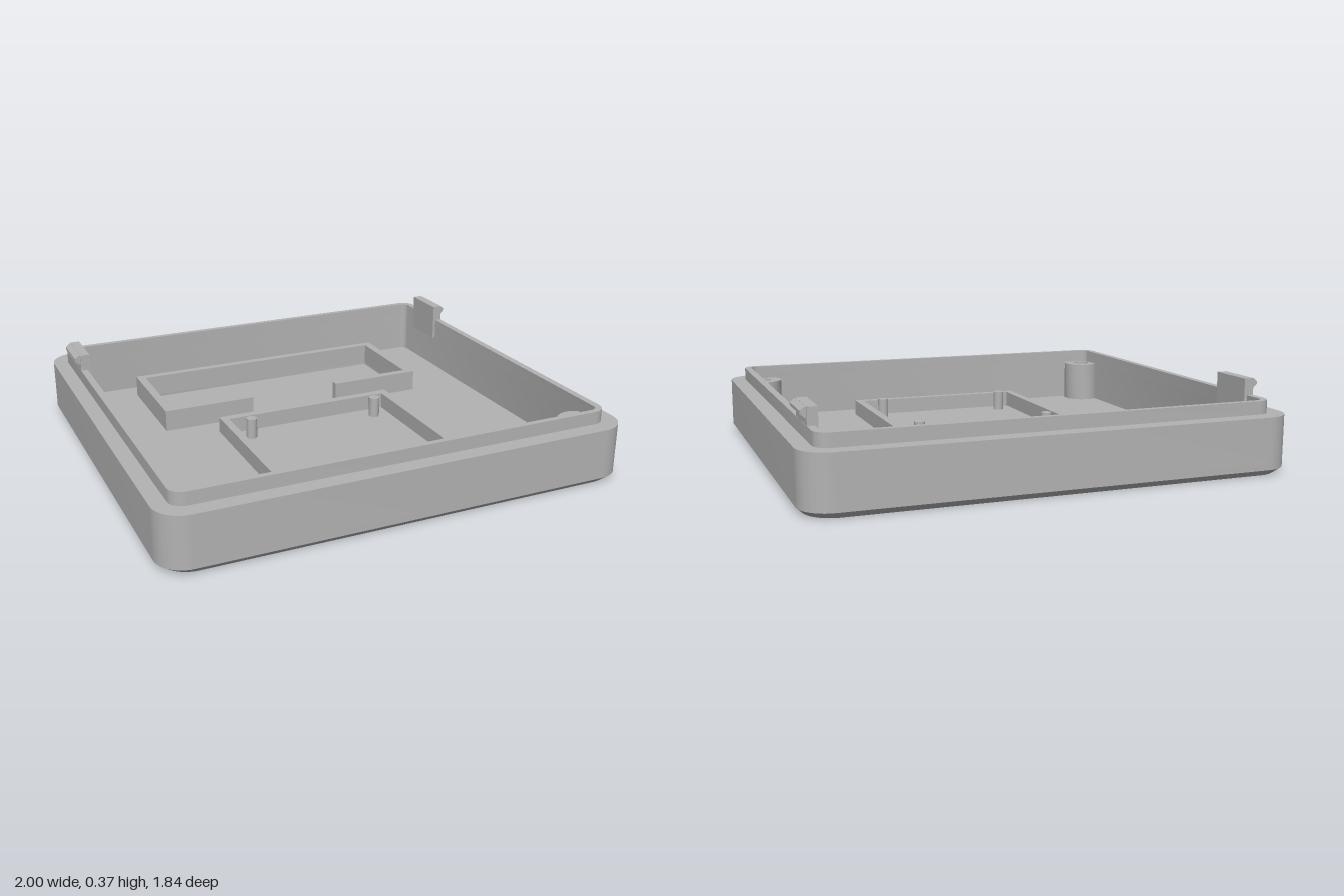
import * as THREE from 'three';
import { toCreasedNormals } from 'three/addons/utils/BufferGeometryUtils.js';

// Rounded rectangle in plan, from x0..x1 and z0..z1
function plan(x0, x1, z0, z1, r, Type = THREE.Shape) {
  const s = new Type();
  if (r === 0) {
    s.moveTo(x0, z0); s.lineTo(x1, z0); s.lineTo(x1, z1); s.lineTo(x0, z1); s.closePath();
    return s;
  }
  s.absarc(x1 - r, z0 + r, r, -Math.PI / 2, 0);
  s.absarc(x1 - r, z1 - r, r, 0, Math.PI / 2);
  s.absarc(x0 + r, z1 - r, r, Math.PI / 2, Math.PI);
  s.absarc(x0 + r, z0 + r, r, Math.PI, Math.PI * 1.5);
  s.closePath();
  return s;
}

const disc = (x, z, r, Type = THREE.Path) => new Type().absarc(x, z, r, 0, Math.PI * 2);

// Flat plan shape raised from y0 to y1
function raise(shape, holes, y0, y1) {
  shape.holes.push(...holes);
  const g = new THREE.ExtrudeGeometry(shape, { depth: y1 - y0, bevelEnabled: false, curveSegments: 10 });
  return g.rotateX(Math.PI / 2).translate(0, y1, 0);
}

export function createModel() {
  const group = new THREE.Group();
  const grey = new THREE.MeshStandardMaterial({ color: 0xb3b3b3 });
  grey.name = 'light grey plastic';
  const add = (name, geometry) => {
    const mesh = new THREE.Mesh(toCreasedNormals(geometry, 0.5), grey);
    mesh.name = name;
    group.add(mesh);
  };

  const FLOOR = 0.05, MID = 0.025, RIM = 0.24, LIP = 0.295;
  const bossX = 0.855, bossZ = 0.77;
  const P = THREE.Path;
  const outer = () => plan(-1, 1, -0.92, 0.92, 0.12);
  const inner = () => plan(-0.905, 0.905, -0.825, 0.825, 0.035, P);
  const screwHoles = () => [-1, 1].map(s => disc(s * bossX, bossZ, 0.06));
  const pocket = (Type = P) => plan(-0.34, 0.34, 0.09, 0.52, 0, Type);
  const windowOuter = (Type = P) => plan(-0.63, 0.63, -0.72, -0.235, 0.03, Type);
  const windowInner = (Type = P) => plan(-0.593, 0.593, -0.685, -0.27, 0.012, Type);

  // Bottom slab, its lower outer edge drawn in to form the chamfer
  const base = raise(outer(), [...screwHoles(), pocket(), windowOuter()], 0, MID);
  const pos = base.attributes.position;
  for (let i = 0; i < pos.count; i++) {
    const x = pos.getX(i), z = pos.getZ(i);
    if (pos.getY(i) < 0.001 && (Math.abs(x) > 0.94 || Math.abs(z) > 0.84)) {
      pos.setX(i, x * 0.975);
      pos.setZ(i, z * 0.973);
    }
  }
  add('chamferedBase', base);
  add('floor', raise(outer(), [...screwHoles(), pocket(), windowInner()], MID, FLOOR));
  add('pocketCover', raise(pocket(THREE.Shape), [], FLOOR - 0.004, FLOOR));
  add('windowPanelLower', raise(windowOuter(THREE.Shape), [], 0.005, MID));
  add('windowPanelUpper', raise(windowInner(THREE.Shape), [], MID, 0.04));

  // Side wall and the thinner lip standing on it
  add('sideWall', raise(outer(), [inner()], FLOOR, RIM));
  add('lip', raise(plan(-0.935, 0.935, -0.85, 0.85, 0.06), [inner()], RIM, LIP));

  // Window frame, open in the middle of its front side
  const frame = new THREE.Shape([
    [-0.21, -0.235], [-0.63, -0.235], [-0.63, -0.72], [0.63, -0.72], [0.63, -0.235], [0.21, -0.235],
    [0.21, -0.27], [0.593, -0.27], [0.593, -0.685], [-0.593, -0.685], [-0.593, -0.27], [-0.21, -0.27],
  ].map(p => new THREE.Vector2(...p)));
  add('windowFrame', raise(frame, [], FLOOR, 0.145));

  // Board frame with four locating pins
  add('boardFrame', raise(plan(-0.415, 0.415, -0.13, 0.7, 0),
    [plan(-0.38, 0.38, -0.093, 0.665, 0, P)], FLOOR, 0.12));
  for (const x of [-0.303, 0.303]) {
    for (const z of [-0.018, 0.588]) {
      add('locatingPin', new THREE.CylinderGeometry(0.024, 0.024, 0.09, 24).translate(x, FLOOR + 0.045, z));
    }
  }

  for (const side of [-1, 1]) {
    // Screw boss in the front corner
    add('screwBoss', raise(disc(side * bossX, bossZ, 0.088, THREE.Shape),
      [disc(side * bossX, bossZ, 0.038)], FLOOR, RIM - 0.003));

    // Snap clip: upright tab with a pointed bead on its outer face
    add('clipTab', new THREE.BoxGeometry(0.042, 0.165, 0.206).translate(side * 0.913, 0.2825, -0.608));
    const bead = new THREE.Shape([
      [0.92, 0.322], [0.938, 0.322], [0.957, 0.338], [0.957, 0.35], [0.938, 0.364], [0.92, 0.364],
    ].map(([x, y]) => new THREE.Vector2(side * x, y)));
    add('clipBead', new THREE.ExtrudeGeometry(bead, { depth: 0.19, bevelEnabled: false }).translate(0, 0, -0.703));
  }
  return group;
}
